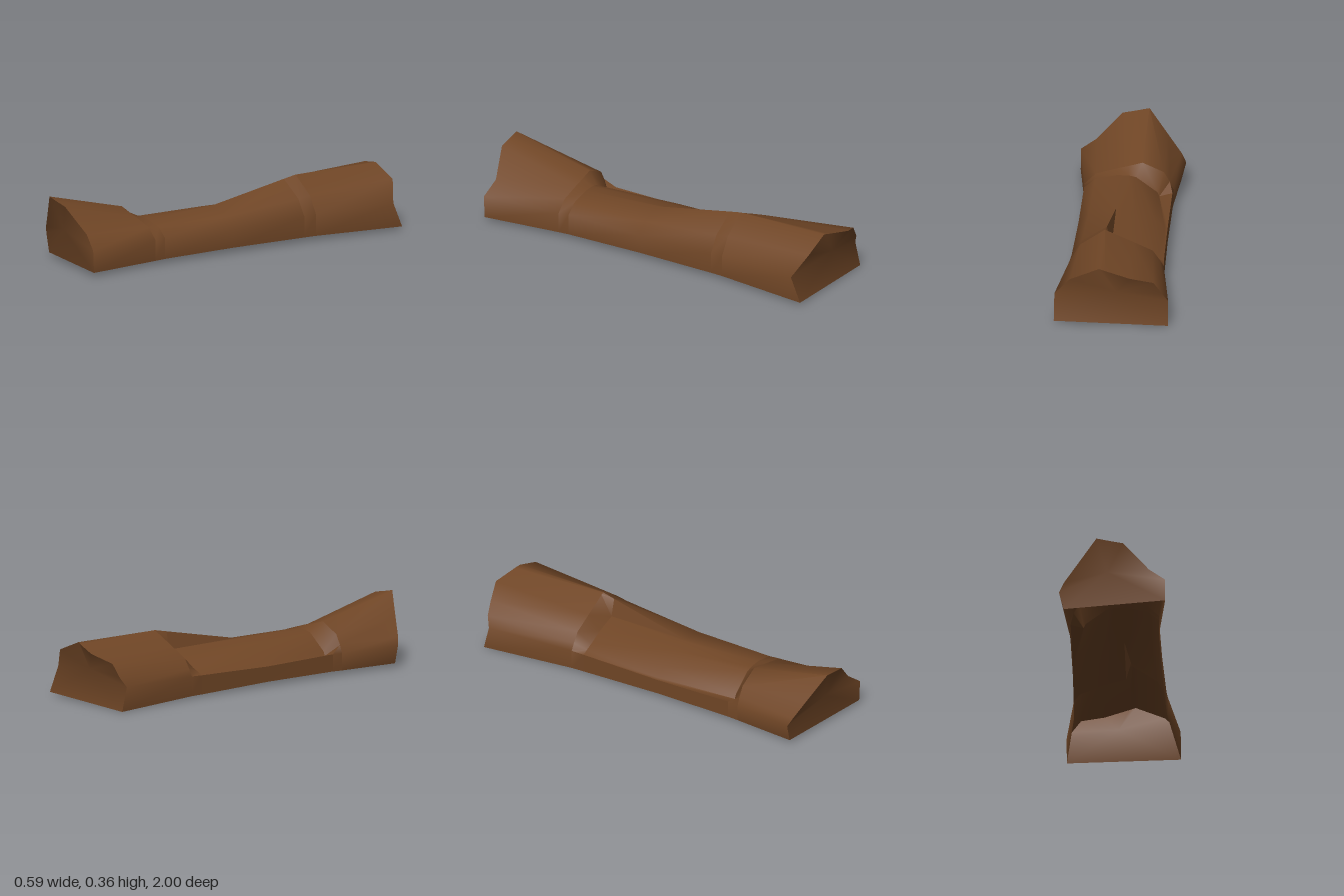
import * as THREE from 'three';
import { toCreasedNormals } from 'three/addons/utils/BufferGeometryUtils.js';

// One cross-section: upright side walls of half-width w around the crest points [x, y],
// running from the +x foot over the top to the -x foot. dz shifts rim points along z.
function section(z, w, wallY, feet, crest, dz = []) {
  const outline = [[w, feet[0]], [w, wallY + 0.01], ...crest, [-w, wallY - 0.01], [-w, feet[1]]];
  return outline.map(([x, y], i) => new THREE.Vector3(x, y, z + (dz[i] ?? 0)));
}

// Flared front rim, with a ragged edge and the -x foot tucked under
const frontRim = section(1, 0.274, 0.125, [0.02, 0.02],
  [[0.19, 0.203], [0.06, 0.332], [-0.01, 0.346], [-0.078, 0.361], [-0.18, 0.24], [-0.25, 0.157]],
  [-0.03, -0.025, -0.045, 0, 0, 0, -0.06, -0.1, -0.12, -0.12]);
frontRim[9].x = -0.25;

// Top and foot of the front notch wall
const frontNotchTop = section(0.55, 0.228, 0.118, [0.02, 0.02],
  [[0.17, 0.185], [0.06, 0.217], [0, 0.232], [-0.07, 0.252], [-0.18, 0.202], [-0.21, 0.15]]);
const frontNotchFoot = section(0.49, 0.227, 0.122, [0.022, 0.022],
  [[0.17, 0.18], [0.06, 0.205], [0, 0.205], [-0.04, 0.197], [-0.15, 0.115], [-0.16, 0.093]]);

// Narrow waist, where both notches run out
const waist = section(0.06, 0.229, 0.112, [0.025, 0.022],
  [[0.175, 0.18], [0.035, 0.21], [0.02, 0.207], [-0.06, 0.189], [-0.165, 0.145], [-0.215, 0.107]]);

// Foot and top of the rear notch wall
const rearNotchFoot = section(-0.38, 0.237, 0.122, [0.022, 0.012],
  [[0.185, 0.215], [0.055, 0.297], [0.03, 0.205], [-0.08, 0.175], [-0.165, 0.14], [-0.205, 0.125]]);
const rearNotchTop = section(-0.45, 0.241, 0.125, [0.022, 0.012],
  [[0.188, 0.225], [0.06, 0.311], [0.045, 0.303], [-0.08, 0.248], [-0.185, 0.2], [-0.22, 0.15]]);

// Flared back rim
const backRim = section(-0.955, 0.293, 0.135, [0.015, 0],
  [[0.21, 0.25], [0.06, 0.311], [0.03, 0.305], [-0.1, 0.28], [-0.22, 0.24], [-0.265, 0.175]],
  [0, 0.055, 0, 0, -0.01, -0.045, 0, 0.01, 0.035, 0.005]);

function fromTriangles(points, creaseDegrees) {
  const geometry = new THREE.BufferGeometry().setFromPoints(points);
  return toCreasedNormals(geometry, THREE.MathUtils.degToRad(creaseDegrees));
}

// Open-bottomed shell joining neighbouring sections
function shellGeometry(...sections) {
  const out = [];
  for (let i = 0; i < sections.length - 1; i++) {
    const s = sections[i], t = sections[i + 1];
    for (let j = 0; j < s.length - 1; j++) {
      out.push(s[j], t[j], t[j + 1], s[j], t[j + 1], s[j + 1]);
    }
  }
  return fromTriangles(out, 55);
}

// Fan closing one end
function capGeometry(rim, back) {
  const centre = new THREE.Vector3();
  rim.forEach((p) => centre.addScaledVector(p, 1 / rim.length));
  const out = [];
  rim.forEach((p, j) => {
    const q = rim[(j + 1) % rim.length];
    out.push(centre, ...(back ? [q, p] : [p, q]));
  });
  return fromTriangles(out, 80);
}

export function createModel() {
  const group = new THREE.Group();
  group.name = 'hollowHalfLog';
  const wood = new THREE.MeshStandardMaterial({ color: 0x704626, side: THREE.DoubleSide });
  wood.name = 'brown wood';

  const add = (name, geometry) => {
    const mesh = new THREE.Mesh(geometry, wood);
    mesh.name = name;
    group.add(mesh);
  };
  add('frontFlare', shellGeometry(frontRim, frontNotchTop));
  add('frontNotchWall', shellGeometry(frontNotchTop, frontNotchFoot));
  add('middle', shellGeometry(frontNotchFoot, waist, rearNotchFoot));
  add('rearNotchWall', shellGeometry(rearNotchFoot, rearNotchTop));
  add('backFlare', shellGeometry(rearNotchTop, backRim));
  add('frontEnd', capGeometry(frontRim, false));
  add('backEnd', capGeometry(backRim, true));
  return group;
}
